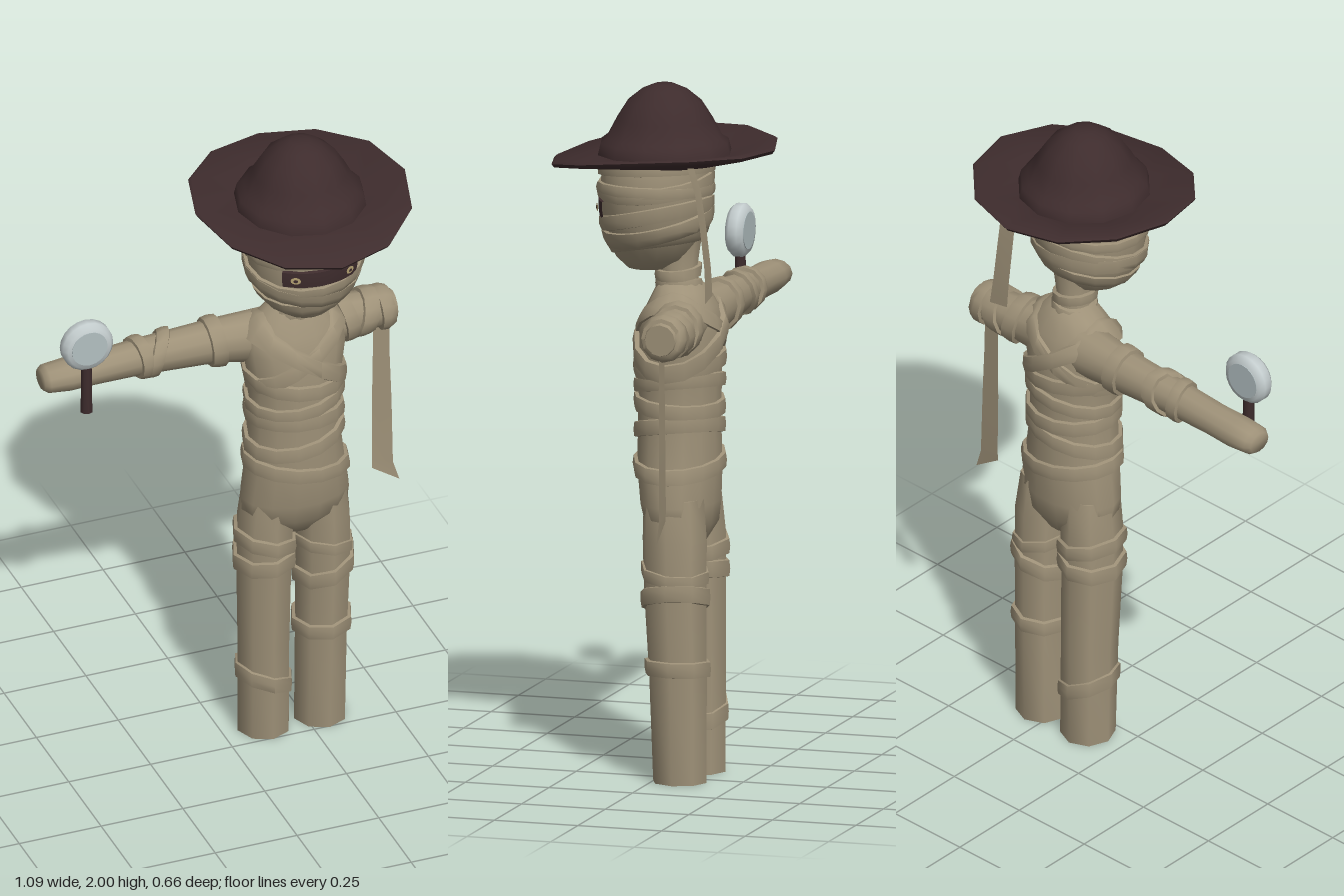
import * as THREE from 'three';
import { toCreasedNormals } from 'three/addons/utils/BufferGeometryUtils.js';

const mat = (name, color) => {
  const m = new THREE.MeshStandardMaterial({ color });
  m.name = name;
  return m;
};

// Skin a list of point rings (bottom to top, all the same length)
function skin(rings, closed = true) {
  const n = rings[0].length, idx = [];
  for (let j = 0; j < rings.length - 1; j++) {
    for (let i = 0; i < (closed ? n : n - 1); i++) {
      const k = (i + 1) % n;
      const a = j * n + i, b = j * n + k, c = b + n, d = a + n;
      idx.push(a, d, c, a, c, b);
    }
  }
  const g = new THREE.BufferGeometry();
  g.setAttribute('position', new THREE.Float32BufferAttribute(rings.flat(2), 3));
  g.setIndex(idx);
  return toCreasedNormals(g, 1.0);
}

// Elliptical sections [y, centreX, centreZ, radiusX, radiusZ, tilt]
function loft(sections, n, bend = () => 0) {
  return skin(sections.map(([y, cx, cz, rx, rz, tilt = 0]) =>
    Array.from({ length: n }, (_, i) => {
      const c = Math.cos(i / n * Math.PI * 2), s = Math.sin(i / n * Math.PI * 2);
      const x = cx + rx * c, z = cz + rz * s;
      return [x, y + tilt * c + bend(x, z), z];
    })));
}

const capped = (s) => {
  const end = ([y, cx, cz]) => [y, cx, cz, 0, 0];
  return [end(s[0]), ...s, end(s[s.length - 1])];
};

// Section of a body part at height y
function sectionAt(s, y) {
  if (y <= s[0][0]) return s[0];
  for (let i = 1; i < s.length; i++) {
    if (y <= s[i][0]) {
      const t = (y - s[i - 1][0]) / (s[i][0] - s[i - 1][0]);
      return s[i].map((v, k) => v * t + s[i - 1][k] * (1 - t));
    }
  }
  return s[s.length - 1];
}

// Bandage strip hugging a body part; tiltX and tiltZ slant it
function wrap(s, n, [y, h, tiltX = 0, tiltZ = 0, thick = 0.013], from = 0, to = Math.PI * 2) {
  const closed = to - from > 6.2;
  const profile = [[-0.5, -0.01], [-0.42, thick * 0.8], [0, thick], [0.42, thick * 0.8], [0.5, -0.01]];
  return skin(profile.map(([u, t]) =>
    Array.from({ length: closed ? n : n + 1 }, (_, i) => {
      const a = from + (to - from) * i / n, c = Math.cos(a), q = Math.sin(a);
      const py = y + u * h + tiltX * c + tiltZ * q;
      const [, cx, cz, rx, rz] = sectionAt(s, py);
      return [cx + (rx + t) * c, py, cz + (rz + t) * q];
    })), closed);
}

export function createModel() {
  const model = new THREE.Group();
  model.name = 'wrappedExplorer';
  const linen = mat('linen', 0x9e9178);
  const felt = mat('darkFelt', 0x3e2c2d);
  const silver = mat('silver', 0xc3cccd);
  const glass = mat('glass', 0xb2bfc1);
  const eyeColor = mat('eye', 0xb5a273);

  const add = (parent, name, geometry, material) => {
    const m = new THREE.Mesh(geometry, material);
    m.name = name;
    parent.add(m);
    return m;
  };
  const part = (name, sections, n, bands) => {
    const g = new THREE.Group();
    g.name = name;
    add(g, name + 'Body', loft(capped(sections), n), linen);
    bands.forEach((b, i) => add(g, name + 'Wrap' + (i + 1), wrap(sections, n, b), linen));
    model.add(g);
    return g;
  };

  // Torso with crossed chest wraps
  part('torso', [
    [0.68, 0.21, -0.06, 0.06, 0.06], [0.74, 0.21, -0.055, 0.16, 0.1],
    [0.8, 0.21, -0.05, 0.163, 0.112], [0.9, 0.208, -0.046, 0.148, 0.12],
    [1.0, 0.205, -0.045, 0.138, 0.118], [1.1, 0.205, -0.045, 0.136, 0.118],
    [1.2, 0.205, -0.045, 0.138, 0.12], [1.3, 0.205, -0.05, 0.155, 0.118],
    [1.36, 0.205, -0.052, 0.148, 0.1], [1.41, 0.205, -0.05, 0.095, 0.075],
    [1.44, 0.205, -0.045, 0.055, 0.055],
  ], 14, [
    [0.91, 0.05, -0.022, 0.0], [1.01, 0.05, 0.025, -0.015], [1.08, 0.05, -0.005, 0.01],
    [1.14, 0.045, 0.02, -0.015], [1.2, 0.05, -0.015, -0.01],
    [1.295, 0.055, 0.095, -0.01, 0.012], [1.285, 0.06, -0.1, 0, 0.017],
  ]);

  // Neck
  part('neck', [
    [1.4, 0.205, -0.045, 0.06, 0.06], [1.46, 0.205, -0.04, 0.05, 0.055], [1.56, 0.205, -0.035, 0.06, 0.075],
  ], 12, [[1.425, 0.035, 0.008, 0, 0.012], [1.46, 0.035, -0.008, -0.005, 0.014]]);

  // Legs, mirrored about the body's middle
  const legBands = {
    right: [[0.655, 0.05, -0.018, 0], [0.59, 0.055, 0.008, 0], [0.18, 0.055, -0.03, 0.005, 0.009]],
    left: [[0.53, 0.055, 0.028, -0.01], [0.605, 0.04, -0.015, 0.01, 0.008], [0.33, 0.05, 0.005, 0]],
  };
  for (const [side, sign] of [['right', -1], ['left', 1]]) {
    const sections = [
      [0, 0.086, -0.075, 0.078, 0.08], [0.3, 0.088, -0.07, 0.078, 0.086],
      [0.55, 0.09, -0.062, 0.082, 0.093], [0.7, 0.087, -0.06, 0.083, 0.096], [0.82, 0.08, -0.055, 0.075, 0.09],
    ].map(([y, x, ...rest]) => [y, 0.21 + sign * x, ...rest]);
    part(side + 'Leg', sections, 8, legBands[side]);
  }

  // Arms run along local y, turned to lie along x
  const arms = [
    part('rightArm', [
      [-0.55, 0.002, 0, 0.03, 0.038], [-0.535, 0.002, 0, 0.04, 0.05], [-0.47, 0.002, 0, 0.047, 0.054],
      [-0.38, 0, 0, 0.048, 0.05], [-0.25, -0.005, 0, 0.054, 0.051], [-0.02, -0.005, 0, 0.066, 0.06],
      [0.14, 0, 0.015, 0.082, 0.075],
    ], 12, [[-0.25, 0.04, 0.005, 0.01], [-0.195, 0.045, -0.018, -0.022], [-0.025, 0.05, 0.006, 0]]),
    part('leftArm', [
      [0.27, 0, 0.015, 0.08, 0.075], [0.4, 0, 0, 0.062, 0.06], [0.5, 0, 0, 0.055, 0.055],
      [0.525, 0, 0, 0.045, 0.045],
    ], 12, [[0.37, 0.05, 0.015, 0.01], [0.435, 0.055, -0.015, 0], [0.495, 0.05, 0.005, 0]]),
  ];
  for (const arm of arms) {
    arm.position.set(0, 1.32, -0.09);
    arm.rotation.z = -Math.PI / 2;
  }

  // Head with slanted and sagging wraps
  const headSections = [
    [1.47, 0.205, 0.045, 0.07, 0.065], [1.5, 0.205, 0.035, 0.108, 0.105], [1.55, 0.205, 0.028, 0.142, 0.132],
    [1.6, 0.207, 0.026, 0.163, 0.15], [1.7, 0.21, 0.025, 0.174, 0.157], [1.8, 0.21, 0.02, 0.168, 0.152],
    [1.84, 0.207, 0.01, 0.14, 0.14],
  ];
  const head = part('head', headSections, 16, [
    [1.765, 0.05, 0.018, -0.01], [1.715, 0.05, -0.015, -0.012, 0.01], [1.7, 0.035, 0.014, 0.0, 0.012],
    [1.625, 0.05, 0.012, -0.035, 0.012], [1.59, 0.055, -0.018, -0.03, 0.014], [1.55, 0.05, 0.015, -0.025, 0.01],
  ]);

  // Eye slit and eyes
  add(head, 'eyeSlit', wrap(headSections, 10, [1.645, 0.058, 0, 0, 0.009], 0.86, 2.28), felt);
  for (const s of [-1, 1]) {
    const disc = (name, r, out, material) => {
      const m = add(head, name, new THREE.CircleGeometry(r, 12), material);
      m.scale.y = 0.75;
      m.position.set(0.208 + s * (0.083 + out * 0.5), 1.648, 0.174 + out);
      m.rotation.y = s * 0.48;
    };
    disc('eye', 0.015, 0, eyeColor);
    disc('pupil', 0.007, 0.002, felt);
  }

  // Hat: brim dips at the front and lifts at the sides and back
  const hat = [
    [1.775, 0], [1.78, 0.17], [1.787, 0.322], [1.797, 0.33], [1.805, 0.32], [1.802, 0.195],
    [1.835, 0.187], [1.848, 0.168], [1.9, 0.14], [1.95, 0.108], [1.985, 0.065], [2.0, 0.03], [2.0, 0],
  ].map(([y, r]) => [y, 0.207, 0, r * 0.97, r]);
  add(model, 'hat', loft(hat, 12, (x, z) => {
    const dx = x - 0.207;
    const w = THREE.MathUtils.clamp((Math.hypot(dx, z) - 0.17) / 0.15, 0, 1);
    return w * (0.3 * dx * dx - 0.09 * z);
  }), felt);

  // Loose cloth ends: two-sided ribbons
  add(model, 'headRibbon', loft([
    [1.415, 0.368, -0.185, 0.033, 0, -0.006], [1.5, 0.362, -0.18, 0.029, 0], [1.62, 0.36, -0.165, 0.028, 0],
    [1.72, 0.36, -0.15, 0.027, 0], [1.8, 0.36, -0.125, 0.026, 0],
  ], 2), linen);
  add(model, 'armRibbon', loft([
    [0.755, 0.502, -0.085, 0.042, 0, -0.028], [0.8, 0.493, -0.087, 0.032, 0, -0.012],
    [1.0, 0.49, -0.085, 0.03, 0], [1.15, 0.488, -0.084, 0.026, 0], [1.3, 0.488, -0.083, 0.024, 0],
  ], 2), linen);

  // Magnifying glass held in the right hand
  const magnifier = new THREE.Group();
  magnifier.name = 'magnifyingGlass';
  magnifier.position.set(-0.44, 1.455, -0.015);
  const rim = [[-0.025, 0], [-0.025, 0.065], [-0.012, 0.077], [0.012, 0.077], [0.025, 0.065], [0.025, 0]];
  add(magnifier, 'rim', loft(rim.map(([y, r]) => [y, 0, 0, r, r]), 20), silver).rotation.x = Math.PI / 2;
  add(magnifier, 'lens', new THREE.CylinderGeometry(0.054, 0.054, 0.054, 20), glass).rotation.x = Math.PI / 2;
  add(magnifier, 'handle', new THREE.CylinderGeometry(0.016, 0.018, 0.155, 8), felt).position.y = -0.147;
  model.add(magnifier);

  return model;
}
